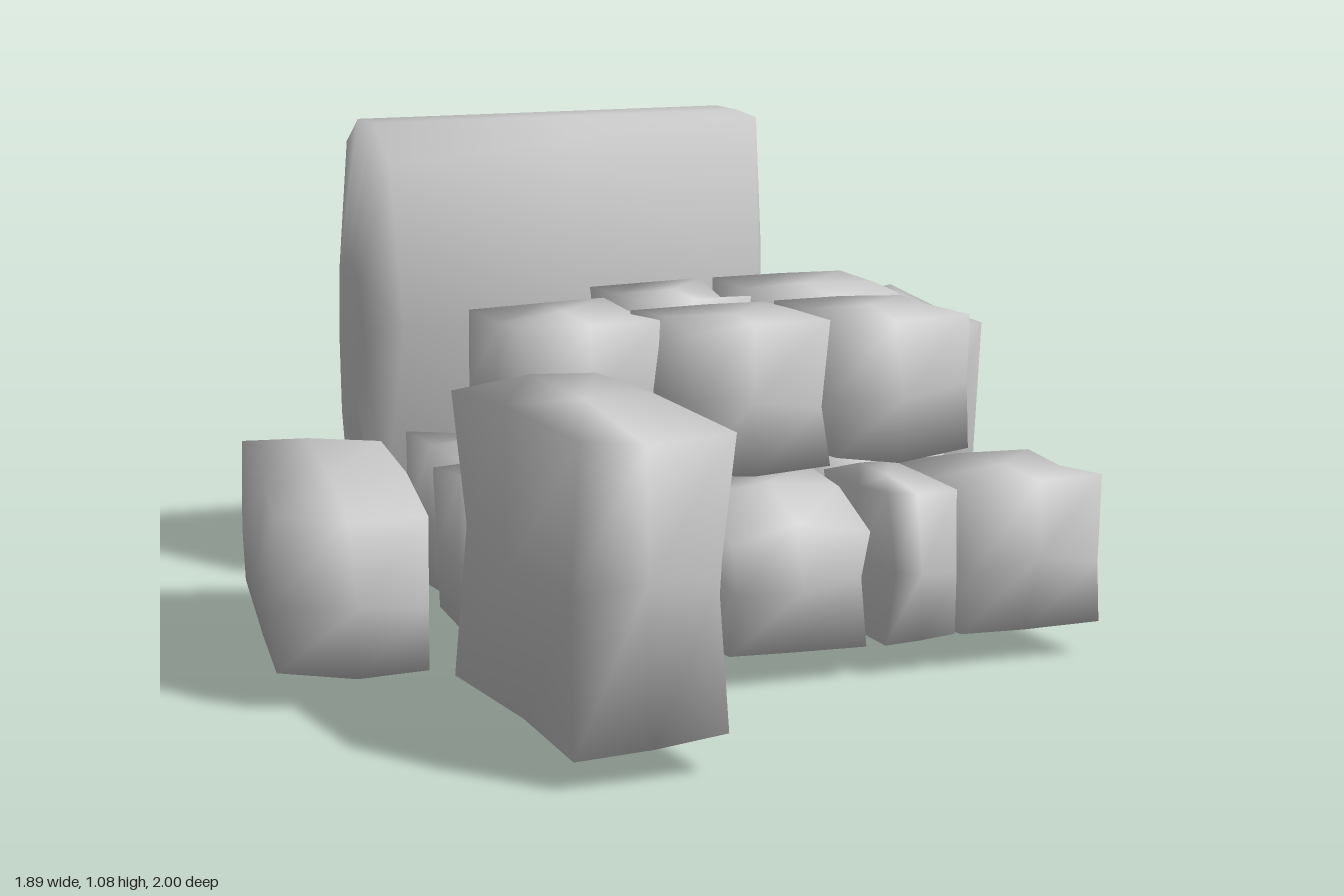
import * as THREE from 'three';
import { mergeVertices } from 'three/addons/utils/BufferGeometryUtils.js';

const stone = new THREE.MeshStandardMaterial({ color: 0xcccccc });

// small repeatable noise in the range 0..1
function seeded(seed) {
  let s = seed * 7919 + 17;
  return () => {
    s = (s * 16807) % 2147483647;
    return s / 2147483647;
  };
}

// Rough stone: a 2x2x2 box, smooth shaded, with edges and corners worn
// inwards by chance, a convex underside (corners raised by lift) and,
// if wanted, a top that falls towards the front by frontDrop.
function rock(name, min, max, seed, { turn = 0, lift = 0.028, wear = 1, frontDrop = 0 } = {}) {
  const rnd = seeded(seed);
  for (let i = 0; i < 5; i++) rnd();
  let geo = new THREE.BoxGeometry(2, 2, 2, 2, 2, 2);
  geo.deleteAttribute('uv');
  geo.deleteAttribute('normal');
  geo = mergeVertices(geo, 1e-3);
  const half = max.map((m, i) => (m - min[i]) / 2);
  const pos = geo.attributes.position;
  for (let i = 0; i < pos.count; i++) {
    const u = [pos.getX(i), pos.getY(i), pos.getZ(i)];
    const outer = u.filter((c) => Math.abs(c) > 0.5).length;
    const reach = wear * [0, 0.004, 0.024, 0.016][outer];
    const q = u.map((c, a) => {
      if (Math.abs(c) < 0.5) return (rnd() - 0.5) * half[a] * 0.2;
      let inset = rnd() * reach;
      if (a === 1 && c < 0) inset += [0, 0, 0.6, 1][outer] * lift;
      return c * (half[a] - inset);
    });
    if (u[1] > 0.5 && u[2] > 0.5) q[1] -= frontDrop * (1 + 0.5 * Math.abs(u[0]));
    pos.setXYZ(i, ...q);
  }
  geo.computeVertexNormals();
  const mesh = new THREE.Mesh(geo, stone);
  mesh.name = name;
  mesh.position.set(...max.map((m, i) => (m + min[i]) / 2));
  mesh.rotation.y = turn;
  return mesh;
}

// Upright slab: one side profile lofted along x, with shrunken end caps
function slab(name) {
  const profile = [ // z, y, how far the front runs askew, rise towards +x
    [-0.77, 1.065, 0, 0], [-0.89, 1.065, 0, 0], [-0.98, 1.005, 0, 0], [-1, 0.5, 0, 0],
    [-0.98, 0.06, 0, 0.03], [-0.9, 0.01, 0, 0.03], [-0.8, 0.02, 0, 0.03],
    [-0.73, 0.17, 0, 0.03], [-0.605, 0.62, 0.085, 0], [-0.655, 1.02, 0, 0.04],
  ];
  const stations = [ // x, profile scale in y, in z
    [-0.45, 0.35, 0.45], [-0.4, 1, 1], [0.06, 1, 1], [0.515, 1, 1], [0.57, 0.35, 0.45],
  ];
  const midZ = -0.82, midY = 0.56, n = profile.length;
  const points = [], faces = [];
  stations.forEach(([x, ky, kz], s) => {
    const along = x - 0.06;
    profile.forEach(([z, y, skew, rise]) => {
      points.push(x, midY + (y + rise * along * 2 - midY) * ky, midZ + (z - skew * along - midZ) * kz);
    });
    if (s === 0) return;
    for (let i = 0; i < n; i++) {
      const a = (s - 1) * n + i, b = (s - 1) * n + ((i + 1) % n);
      faces.push(a, a + n, b, b, a + n, b + n);
    }
  });
  // close both ends with a fan
  const first = points.length / 3, last = (stations.length - 1) * n;
  points.push(-0.45, midY, midZ, 0.57, midY, midZ);
  for (let i = 0; i < n; i++) {
    const j = (i + 1) % n;
    faces.push(first, i, j, first + 1, last + j, last + i);
  }
  const geo = new THREE.BufferGeometry();
  geo.setAttribute('position', new THREE.Float32BufferAttribute(points, 3));
  geo.setIndex(faces);
  geo.computeVertexNormals();
  const mesh = new THREE.Mesh(geo, stone);
  mesh.name = name;
  return mesh;
}

export function createModel() {
  const model = new THREE.Group();
  model.add(slab('backSlab'));

  // large outlying boulders
  model.add(rock('rightLowBoulder', [-0.873, 0.02, -0.563], [-0.541, 0.385, 0.288], 5, { turn: -0.205 }));
  model.add(rock('frontTallBoulder', [-0.595, 0.025, 0.315], [-0.255, 0.66, 1], 7, { lift: 0.015, wear: 1.7 }));
  model.add(rock('leftTallBoulder', [0.72, 0.045, -0.78], [0.895, 0.64, -0.095], 9, { turn: -0.165, lift: 0.025, wear: 1.5 }));

  // ground layer: x min, x max, z min, z max, optional fall of the front edge
  const lower = [
    [-0.235, -0.06, 0.14, 0.5], [-0.045, 0.285, 0.13, 0.465, 0.055],
    [0.31, 0.485, 0.15, 0.48], [0.49, 0.83, 0.135, 0.485],
    [-0.47, -0.14, -0.175, 0.16], [-0.12, 0.25, -0.2, 0.13], [0.3, 0.635, -0.21, 0.12],
    [-0.405, -0.065, -0.565, -0.23], [-0.055, 0.28, -0.565, -0.23], [0.3, 0.635, -0.565, -0.23],
  ];
  lower.forEach(([x0, x1, z0, z1, frontDrop], i) => {
    model.add(rock('lowerStone' + (i + 1), [x0, 0.02, z0], [x1, 0.385, z1], 20 + i, { frontDrop }));
  });

  // stones resting on the ground layer
  const upper = [
    [-0.37, -0.04, -0.215, 0.11], [-0.06, 0.275, -0.06, 0.285], [0.275, 0.61, -0.06, 0.275],
    [-0.02, 0.265, -0.395, -0.11], [0.285, 0.63, -0.415, -0.08],
  ];
  upper.forEach(([x0, x1, z0, z1], i) => {
    model.add(rock('upperStone' + (i + 1), [x0, 0.375, z0], [x1, 0.72, z1], 40 + i));
  });

  return model;
}
